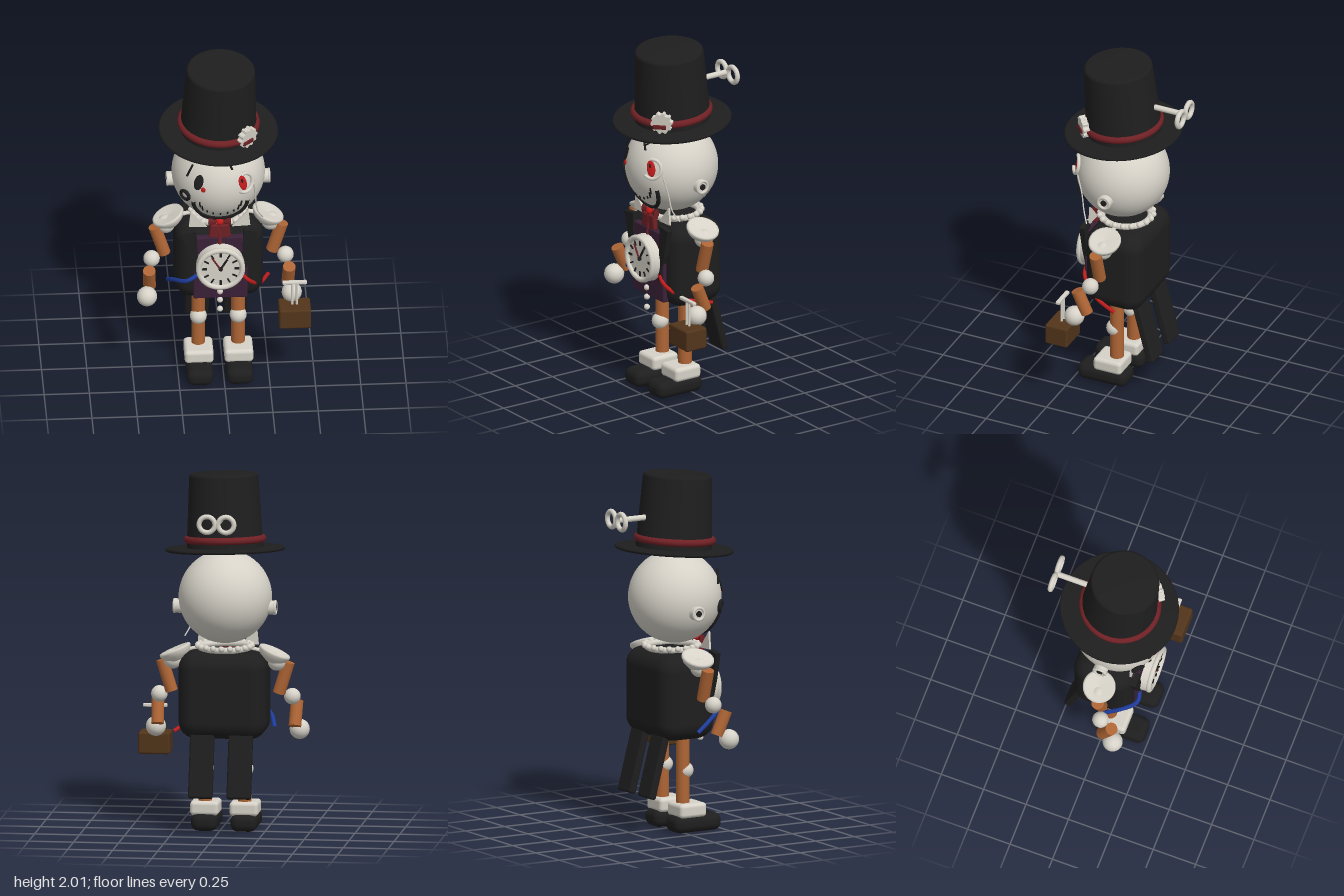
import * as THREE from 'three';
import { RoundedBoxGeometry } from 'three/addons/geometries/RoundedBoxGeometry.js';

const V = (x, y, z) => new THREE.Vector3(x, y, z);

export function createModel() {
  const mat = (name, color) => {
    const m = new THREE.MeshStandardMaterial({ color });
    m.name = name;
    return m;
  };
  const black = mat('black cloth', 0x1e1e1e);
  const white = mat('ivory', 0xd6d2c8);
  const copper = mat('copper', 0xae6535);
  const wine = mat('wine red', 0x6e2024);
  const red = mat('bright red', 0xc01c1c);
  const blue = mat('blue', 0x1f3d9e);
  const purple = mat('dark purple', 0x3a2138);
  const brown = mat('brown leather', 0x52351b);

  const root = new THREE.Group();
  root.name = 'clockworkFigure';
  root.position.x = -0.025;

  // Helpers
  const add = (name, geo, m, p = [0, 0, 0], r = [0, 0, 0], parent = root) => {
    const mesh = new THREE.Mesh(geo, m);
    mesh.name = name;
    mesh.position.set(...p);
    mesh.rotation.set(...r);
    parent.add(mesh);
    return mesh;
  };
  const ball = (name, r, m, p, parent) => add(name, new THREE.SphereGeometry(r, 24, 16), m, p, [0, 0, 0], parent);
  const box = (name, w, h, d, rad, m, p, r, parent) =>
    add(name, new RoundedBoxGeometry(w, h, d, 4, rad), m, p, r, parent);
  const rod = (name, a, b, r, m, parent) => {
    const d = b.clone().sub(a);
    const mesh = add(name, new THREE.CylinderGeometry(r, r, d.length(), 20), m,
      a.clone().add(b).multiplyScalar(0.5).toArray(), [0, 0, 0], parent);
    mesh.quaternion.setFromUnitVectors(V(0, 1, 0), d.normalize());
    return mesh;
  };
  const wire = (name, pts, r, m) =>
    add(name, new THREE.TubeGeometry(new THREE.CatmullRomCurve3(pts), 32, r, 8), m);
  const plate = (name, pts, depth, m, z) => {
    const shape = new THREE.Shape(pts.map(([x, y]) => new THREE.Vector2(x, y)));
    return add(name, new THREE.ExtrudeGeometry(shape, { depth, bevelEnabled: false }), m, [0, 0, z]);
  };

  // Head and a rule that places details on its front
  const R = 0.258, headC = V(0, 1.305, 0.03);
  add('head', new THREE.SphereGeometry(R, 48, 32), white, headC.toArray());
  const onFace = (x, y, lift = 0) => {
    const dy = y - headC.y;
    const n = V(x, dy, Math.sqrt(Math.max(0, R * R - x * x - dy * dy))).normalize();
    return n.multiplyScalar(R + lift).add(headC);
  };
  const stick = (mesh, x, y, lift, roll = 0) => {
    mesh.position.copy(onFace(x, y, lift));
    mesh.lookAt(mesh.position.clone().multiplyScalar(2).sub(headC));
    mesh.rotateZ(roll);
    return mesh;
  };
  const oval = (name, rx, ry, m, x, y, roll, lift = 0.002) => {
    const e = ball(name, 1, m);
    e.scale.set(rx, ry, 0.006);
    stick(e, x, y, lift, roll);
  };

  // Eyes, eyepiece and brows
  oval('rightEye', 0.026, 0.046, black, -0.12, 1.37, -0.2);
  oval('rightPupil', 0.013, 0.015, red, -0.095, 1.335, 0, 0.006);
  oval('leftEye', 0.025, 0.046, red, 0.122, 1.36, 0.2);
  oval('leftPupil', 0.01, 0.018, black, 0.115, 1.375, 0.2, 0.004);
  stick(add('monocle', new THREE.TorusGeometry(0.054, 0.01, 12, 32, 4.1), white), 0.13, 1.36, 0.008, -2.4);
  wire('monocleChain', [onFace(0.18, 1.33, 0.01), onFace(0.19, 1.22, 0.01), V(0.21, 1.12, 0.17), V(0.24, 1.06, 0.14)], 0.004, white);
  rod('rightBrow', V(-0.152, 1.465, 0.215), V(-0.182, 1.385, 0.2), 0.006, black);
  rod('leftBrow', V(0.03, 1.53, 0.24), V(0.065, 1.45, 0.25), 0.006, black);
  rod('leftBrowFork', V(0.052, 1.475, 0.25), V(0.083, 1.495, 0.24), 0.005, black);

  // Smile with stitches
  const smile = [];
  for (let i = 0; i <= 16; i++) {
    const a = Math.PI * (1 + i / 16);
    smile.push(onFace(0.148 * Math.cos(a), 1.24 + 0.148 * Math.sin(a), 0.002));
  }
  wire('smile', smile, 0.012, black);
  for (let i = 0; i < 9; i++) {
    const a = Math.PI * (1.06 + 0.88 * i / 8);
    stick(add('stitch', new THREE.BoxGeometry(0.007, i % 8 < 2 || i === 7 ? 0.04 : 0.016, 0.008), black),
      0.115 * Math.cos(a), 1.24 + 0.085 * Math.sin(a), 0.001);
  }
  stick(add('cheekRing', new THREE.TorusGeometry(0.028, 0.01, 12, 28), black), -0.188, 1.265, 0.008);
  oval('cheekStud', 0.024, 0.024, white, -0.188, 1.265, 0, 0.004);

  // Ear bolts
  for (const s of [-1, 1]) {
    add('earBolt', new THREE.CylinderGeometry(0.04, 0.04, 0.05, 28), white, [s * 0.255, 1.25, 0.016], [0, 0, Math.PI / 2]);
    add('earRim', new THREE.TorusGeometry(0.034, 0.008, 10, 28), white, [s * 0.28, 1.25, 0.016], [0, Math.PI / 2, 0]);
    add('earHole', new THREE.CylinderGeometry(0.017, 0.017, 0.008, 20), black, [s * 0.282, 1.25, 0.016], [0, 0, Math.PI / 2]);
  }

  // Top hat, slightly tilted
  const hat = new THREE.Group();
  hat.name = 'topHat';
  hat.position.set(0, 1.572, 0.027);
  hat.rotation.set(0.08, 0, -0.03);
  root.add(hat);
  const lathe = (pts) => new THREE.LatheGeometry(pts.map(([x, y]) => new THREE.Vector2(x, y)), 56);
  add('brim', lathe([[0, -0.01], [0.322, -0.01], [0.33, -0.004], [0.33, 0.004], [0.322, 0.01], [0, 0.01]]), black, [0, 0, 0], [0, 0, 0], hat);
  add('crown', lathe([[0.212, 0], [0.191, 0.4], [0.187, 0.413], [0.175, 0.42], [0, 0.422]]), black, [0, 0, -0.004], [0, 0, 0], hat);
  add('hatBand', new THREE.TorusGeometry(0.207, 0.021, 14, 56), wine, [0, 0.055, 0], [Math.PI / 2, 0, 0], hat);

  // Gear ornament on the band
  const gear = new THREE.Group();
  gear.name = 'hatGear';
  gear.position.set(0.147, 0.075, 0.165);
  gear.rotation.y = 0.72;
  hat.add(gear);
  const gearShape = new THREE.Shape();
  for (let i = 0; i < 40; i++) {
    const r = i % 4 < 2 ? 0.062 : 0.052, a = i * Math.PI / 20;
    gearShape[i ? 'lineTo' : 'moveTo'](r * Math.cos(a), r * Math.sin(a));
  }
  add('gearPlate', new THREE.ExtrudeGeometry(gearShape, { depth: 0.035, bevelEnabled: false }), white, [0, 0, -0.015], [0, 0, 0], gear);
  box('gearStrap', 0.075, 0.025, 0.012, 0.005, wine, [-0.01, -0.02, 0.022], [0, 0, 0], gear);

  // Winding key
  rod('keyShaft', V(0, 1.765, -0.15), V(0, 1.765, -0.345), 0.016, white);
  for (const s of [-1, 1])
    add('keyLoop', new THREE.TorusGeometry(0.044, 0.014, 12, 32), white, [s * 0.053, 1.765, -0.345]);

  // Torso, lapels, waistcoat and collar
  box('jacket', 0.49, 0.485, 0.345, 0.095, black, [0, 0.77, -0.003]);
  box('waistcoat', 0.3, 0.4, 0.04, 0.008, purple, [0.004, 0.763, 0.172]);
  for (const s of [-1, 1]) {
    plate('lapel', [[-0.21, 1.0], [-0.13, 1.01], [-0.115, 0.68], [-0.17, 0.84]].map(([x, y]) => [s * x, y]), 0.03, black, 0.17);
    plate('collarPoint', [[-0.16, 1.12], [-0.17, 1.02], [-0.07, 1.015]].map(([x, y]) => [s * x, y]), 0.012, white, 0.15);
    box('coatTail', 0.135, 0.39, 0.045, 0.012, black, [s * 0.107, 0.4, -0.167], [0.26, 0, 0]);
  }
  add('collarRing', new THREE.TorusGeometry(0.135, 0.018, 10, 40), white, [0, 1.025, 0.01], [Math.PI / 2, 0, 0]);
  for (let i = 0; i < 20; i++) {
    const a = i * Math.PI / 10;
    ball('collarBead', 0.017, white, [0.15 * Math.cos(a), 1.035, 0.01 + 0.15 * Math.sin(a)]);
  }

  // Bow tie
  ball('tieKnot', 0.022, red, [0, 1.06, 0.175]);
  for (const s of [-1, 1]) {
    const wing = add('tieWing', new THREE.ConeGeometry(0.03, 0.055, 16), wine, [s * 0.033, 1.055, 0.172], [0, 0, s * Math.PI / 2]);
    wing.scale.z = 0.6;
    box('tieTail', 0.055, 0.085, 0.03, 0.01, wine, [s * 0.03, 1.0, 0.175], [0, 0, s * 0.12]);
  }
  rod('tieRibbon', V(0, 1.04, 0.175), V(0, 0.9, 0.19), 0.012, wine);

  // Clock on the chest
  const clock = new THREE.Group();
  clock.name = 'chestClock';
  clock.position.set(0.001, 0.79, 0.19);
  root.add(clock);
  add('clockCase', new THREE.CylinderGeometry(0.13, 0.135, 0.05, 48), white, [0, 0, 0.025], [Math.PI / 2, 0, 0], clock);
  add('clockRim', new THREE.TorusGeometry(0.121, 0.015, 12, 48), white, [0, 0, 0.053], [0, 0, 0], clock);
  for (let i = 0; i < 12; i++) {
    const a = i * Math.PI / 6, r = 0.09;
    add('hourMark', new THREE.BoxGeometry(i % 3 ? 0.008 : 0.012, 0.028, 0.006), black, [r * Math.sin(a), r * Math.cos(a), 0.053], [0, 0, -a], clock);
  }
  rod('hourHand', V(0, 0, 0.056), V(0.037, 0.062, 0.056), 0.006, black, clock);
  rod('minuteHand', V(0.005, -0.01, 0.058), V(-0.048, 0.076, 0.058), 0.005, wine, clock);
  ball('clockPin', 0.012, black, [0, 0, 0.056], clock);

  // Buttons and loose wires
  for (const y of [0.61, 0.555, 0.495]) ball('button', 0.017, white, [0, y, 0.195]);
  wire('blueWire', [V(-0.11, 0.73, 0.19), V(-0.18, 0.69, 0.2), V(-0.25, 0.635, 0.1), V(-0.278, 0.58, 0.01)], 0.012, blue);
  wire('redWire', [V(0.1, 0.74, 0.19), V(0.16, 0.675, 0.19), V(0.225, 0.59, 0.09), V(0.28, 0.555, -0.05)], 0.011, red);

  // Arms and legs, mirrored
  for (const s of [-1, 1]) {
    const side = s > 0 ? 'left' : 'right';
    add(side + 'ShoulderDish', lathe([[0, -0.055], [0.05, -0.05], [0.078, -0.025], [0.092, 0], [0.09, 0.012], [0.08, 0.014], [0, 0.004]]),
      white, [s * 0.275, 0.998, 0.012], [0, 0, -s * 0.42]);
    rod(side + 'ShoulderLink', V(s * 0.12, 1.025, 0.012), V(s * 0.25, 1.0, 0.012), 0.012, white);
    ball(side + 'Shoulder', 0.052, white, [s * 0.29, 0.95, 0.015]);
    rod(side + 'UpperArm', V(s * 0.352, 0.945, 0.032), V(s * 0.298, 0.77, 0.032), 0.035, copper);
    ball(side + 'Elbow', 0.046, white, [s * 0.37, 0.75, 0.055]);
    rod(side + 'Forearm', V(s * 0.387, 0.715, 0.127), V(s * 0.382, 0.58, 0.07), 0.035, copper);
    ball(side + 'Hand', 0.056, white, [s * 0.4, 0.555, 0.138]);

    rod(side + 'Leg', V(s * 0.11, 0.54, 0.016), V(s * 0.11, 0.16, 0.016), 0.038, copper);
    ball(side + 'Knee', 0.047, white, [s * 0.11, 0.345, 0.03]);
    box(side + 'Cuff', 0.16, 0.08, 0.17, 0.022, white, [s * 0.11, 0.126, 0.043]);
    box(side + 'Shoe', 0.147, 0.098, 0.298, 0.042, black, [s * 0.11, 0.049, 0.084]);
  }

  // Case in the left hand
  box('case', 0.176, 0.122, 0.136, 0.012, brown, [0.412, 0.456, 0.205]);
  box('caseHandle', 0.136, 0.02, 0.024, 0.006, white, [0.412, 0.66, 0.205]);
  for (const s of [-1, 1]) rod('handlePost', V(0.412 + s * 0.013, 0.51, 0.205), V(0.412 + s * 0.013, 0.66, 0.205), 0.007, white);

  const model = new THREE.Group();
  model.name = 'model';
  model.add(root);
  return model;
}
